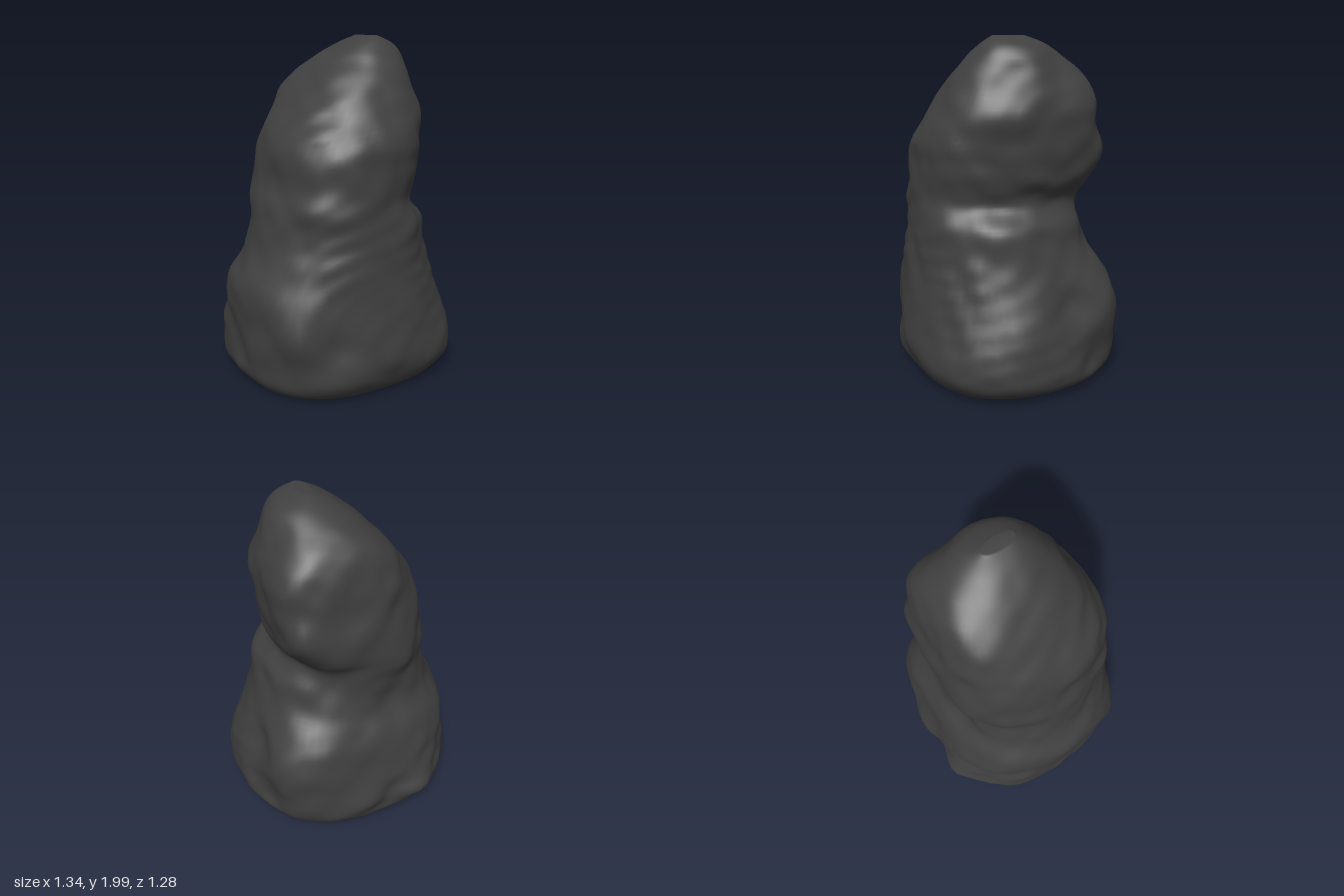
import * as THREE from 'three';

// Cross-sections: y, left x, right x, back z, front z
const SECTIONS = [
  [0.01, -0.54, 0.52, -0.46, 0.48],
  [0.03, -0.60, 0.58, -0.54, 0.55],
  [0.09, -0.64, 0.65, -0.59, 0.60],
  [0.2, -0.65, 0.67, -0.61, 0.635],
  [0.38, -0.66, 0.64, -0.575, 0.62],
  [0.6, -0.65, 0.565, -0.53, 0.595],
  [0.78, -0.57, 0.50, -0.45, 0.58],
  [0.95, -0.53, 0.47, -0.43, 0.565],
  [1.08, -0.515, 0.385, -0.45, 0.56],
  [1.2, -0.485, 0.44, -0.46, 0.555],
  [1.4, -0.46, 0.47, -0.44, 0.545],
  [1.6, -0.33, 0.48, -0.41, 0.465],
  [1.8, -0.16, 0.41, -0.35, 0.36],
  [1.94, 0.01, 0.34, -0.16, 0.25],
  [2, 0.13, 0.21, -0.02, 0.17],
];

// Local lumps (+) and dents (-): x, y, z, radius, amount
const LUMPS = [
  [-0.28, 0.2, -0.6, 0.12, 0.04],
  [-0.1, 0.2, -0.6, 0.1, -0.03],
  [-0.58, 0.62, 0.1, 0.14, 0.03],
  [-0.5, 0.4, 0.46, 0.14, 0.04],
  [-0.36, 0.3, 0.52, 0.1, -0.04],
  [0.6, 0.5, -0.12, 0.13, -0.05],
  [0.64, 0.2, -0.28, 0.17, -0.045],
  [0.42, 1.3, 0.2, 0.2, -0.03],
  [-0.2, 0.75, -0.43, 0.13, -0.03],
];

const bell = (distance, width) => Math.exp(-((distance / width) ** 2));

// How square the outline is in each quadrant (2 = elliptical), from right front round to right back.
// The right back corner overhangs a notch above a bulging foot.
function squareness(quadrant, y) {
  const foot = bell(y - 0.2, 0.3);
  return [
    2.1 + 0.5 * foot - 0.2 * bell(y - 1.3, 0.2),
    2.4 + 0.2 * foot,
    2.15 + 0.6 * foot + 0.8 * bell(y - 1.75, 0.15),
    2.2 + 2.0 * bell(y - 0.55, 0.2) + 4 * bell(y - 1.35, 0.13) + 2.2 * bell(y - 1.65, 0.14),
  ][quadrant];
}

// Layered waves for the uneven stone surface
function roughness(x, y, z) {
  const warp = Math.sin(3.1 * x + 4.3 * y) + Math.sin(3.7 * z - 2.9 * y);
  return 0.013 * Math.sin(9 * x + warp) * Math.cos(8 * z - warp) * Math.sin(8 * y + warp)
    + 0.011 * Math.sin(15 * y + 2 * warp) * Math.cos(14 * x - 2 * warp) * Math.sin(13 * z + warp)
    + 0.006 * Math.sin(25 * x + 3 * warp) * Math.sin(23 * y - 2 * warp) * Math.cos(24 * z);
}

function createRockGeometry() {
  const sides = 80, rows = 96;
  // One smooth curve per section column
  const curves = SECTIONS[0].map((_, k) =>
    new THREE.SplineCurve(SECTIONS.map((s, i) => new THREE.Vector2(i, s[k]))));
  const positions = [], indices = [];

  for (let j = 0; j <= rows; j++) {
    const [y, x0, x1, z0, z1] = curves.map((curve) => curve.getPoint(j / rows).y);
    const cx = (x0 + x1) / 2, cz = (z0 + z1) / 2;
    const fade = THREE.MathUtils.smoothstep(y, 0, 0.15)
      * (1 - THREE.MathUtils.smoothstep(y, 1.85, 1.99));
    for (let i = 0; i < sides; i++) {
      const a = (i / sides) * Math.PI * 2;
      const c = Math.cos(a), s = Math.sin(a);
      const n = squareness(Math.floor((i / sides) * 4), y);
      const r = Math.pow(Math.pow(Math.abs(c), n) + Math.pow(Math.abs(s), n), -1 / n);
      const x = cx + c * r * (x1 - x0) / 2;
      const z = cz + s * r * (z1 - z0) / 2;
      let push = roughness(x, y, z);
      for (const [lx, ly, lz, size, amount] of LUMPS) {
        push += amount * bell(Math.hypot(x - lx, y - ly, z - lz), size);
      }
      positions.push(x + c * push * fade, THREE.MathUtils.clamp(y, 0, 2), z + s * push * fade);
    }
  }

  for (let j = 0; j < rows; j++) {
    for (let i = 0; i < sides; i++) {
      const p = j * sides + i, q = j * sides + (i + 1) % sides;
      indices.push(p, p + sides, q, q, p + sides, q + sides);
    }
  }
  // Close the underside and the peak
  const last = rows * sides;
  for (let i = 1; i < sides - 1; i++) {
    indices.push(0, i, i + 1, last, last + i + 1, last + i);
  }

  const geometry = new THREE.BufferGeometry();
  geometry.setAttribute('position', new THREE.Float32BufferAttribute(positions, 3));
  geometry.setIndex(indices);
  geometry.computeVertexNormals();
  return geometry;
}

export function createModel() {
  const group = new THREE.Group();
  group.name = 'boulder';
  const rock = new THREE.Mesh(createRockGeometry(), new THREE.MeshStandardMaterial({ color: 0x404040 }));
  rock.name = 'rock';
  group.add(rock);
  return group;
}
